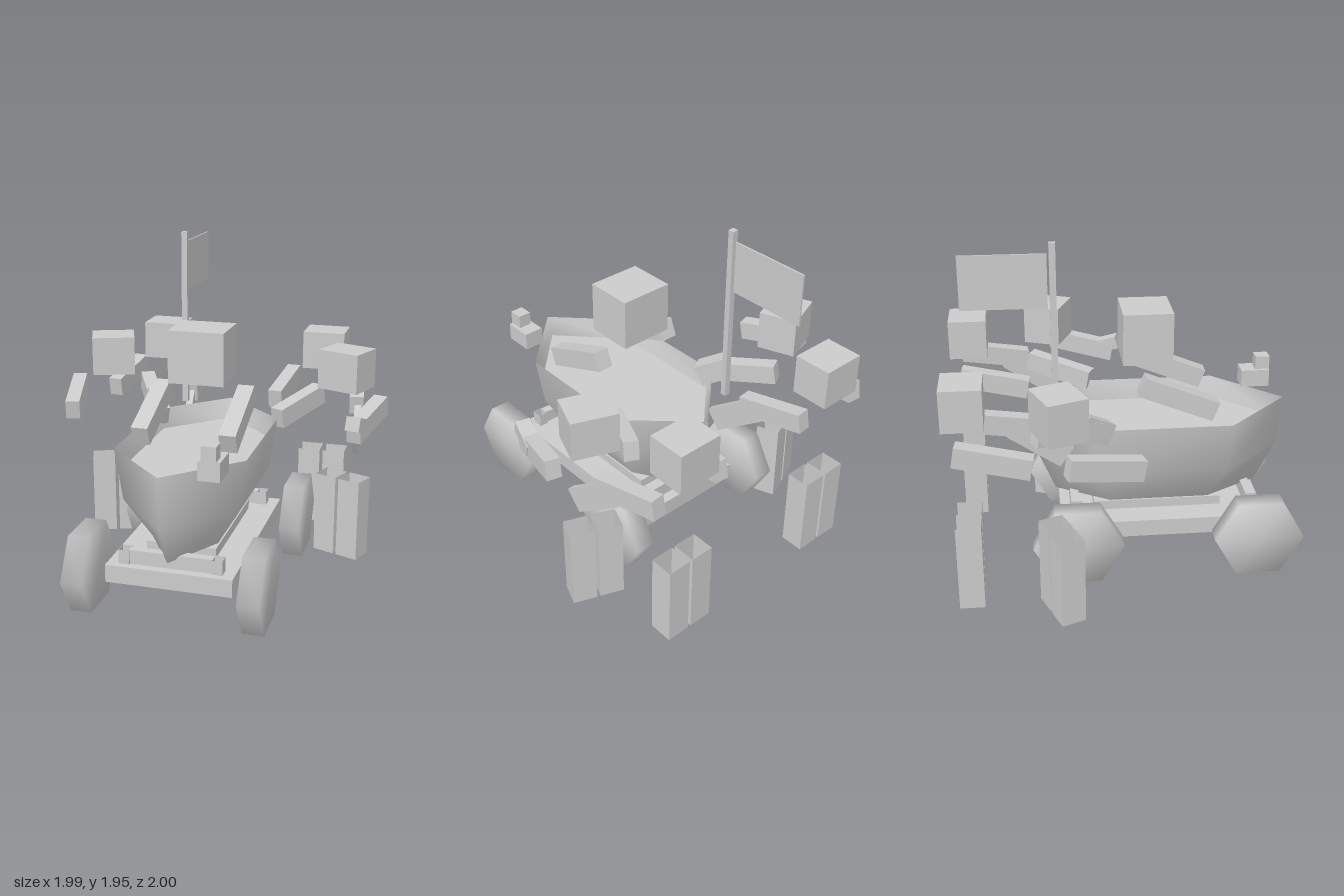
import * as THREE from 'three';
import { mergeVertices } from 'three/addons/utils/BufferGeometryUtils.js';

const grey = new THREE.MeshStandardMaterial({ color: 0xcccccc, side: THREE.DoubleSide });

function add(parent, name, geometry, x = 0, y = 0, z = 0, pitch = 0, yaw = 0) {
  const mesh = new THREE.Mesh(geometry, grey);
  mesh.name = name;
  mesh.position.set(x, y, z);
  mesh.rotation.set(pitch, yaw, 0, 'YXZ');
  parent.add(mesh);
  return mesh;
}

const box = (w, h, d) => new THREE.BoxGeometry(w, h, d);

// Box without its bottom face, and without its top face unless kept
function openBox(w, h, d, keepTop = false) {
  const g = box(w, h, d);
  const index = Array.from(g.index.array);
  g.setIndex([...index.slice(0, keepTop ? 18 : 12), ...index.slice(24)]);
  g.clearGroups();
  return g;
}

// Six-cornered boat section: bow and stern points, straight sides
function hullRing({ y, half, bow, front, back, stern }) {
  return [
    [0, y, bow], [half, y, front], [half, y, back],
    [0, y, stern], [-half, y, back], [-half, y, front],
  ];
}

function loft(sections) {
  const n = 6, index = [];
  const points = sections.flatMap(hullRing);
  for (let s = 0; s < sections.length - 1; s++) {
    for (let i = 0; i < n; i++) {
      const a = s * n + i, b = s * n + (i + 1) % n;
      index.push(a, b, b + n, a, b + n, a + n);
    }
  }
  const g = new THREE.BufferGeometry();
  g.setAttribute('position', new THREE.Float32BufferAttribute(points.flat(), 3));
  g.setIndex(index);
  g.computeVertexNormals();
  return g;
}

// Flat six-cornered plate facing up
function plate(section) {
  const g = new THREE.BufferGeometry();
  g.setAttribute('position', new THREE.Float32BufferAttribute(hullRing(section).flat(), 3));
  g.setIndex([0, 1, 5, 1, 2, 5, 2, 4, 5, 2, 3, 4]);
  g.computeVertexNormals();
  return g;
}

function makeBoat() {
  const boat = new THREE.Group();
  boat.name = 'boat';
  const bottom = { y: 0.365, half: 0.19, bow: 0.82, front: 0.5, back: -0.08, stern: -0.39 };
  const bilge = { y: 0.6, half: 0.33, bow: 0.94, front: 0.58, back: -0.15, stern: -0.49 };
  const rim = { y: 0.9, half: 0.37, bow: 0.97, front: 0.6, back: -0.17, stern: -0.52 };
  const deck = { y: 0.78, half: 0.335, bow: 0.93, front: 0.58, back: -0.155, stern: -0.485 };
  add(boat, 'hull', loft([bottom, bilge, rim]));
  add(boat, 'innerWall', loft([deck, rim]));
  add(boat, 'deck', plate(deck));
  add(boat, 'hullBottom', plate(bottom));
  return boat;
}

// Six-sided wheel with corners fore and aft, shaded smoothly across its edges
function wheelGeometry() {
  const g = new THREE.CylinderGeometry(0.255, 0.255, 0.12, 6).rotateZ(Math.PI / 2);
  g.deleteAttribute('normal');
  g.deleteAttribute('uv');
  const smooth = mergeVertices(g, 1e-3);
  smooth.computeVertexNormals();
  return smooth;
}

function makeCart() {
  const cart = new THREE.Group();
  cart.name = 'cart';
  add(cart, 'chassis', openBox(0.71, 0.1, 1.19, true), 0, 0.26, 0.225);
  add(cart, 'keelBlock', box(0.4, 0.055, 0.75), 0, 0.337, 0.2);
  const wheel = wheelGeometry();
  for (const z of [0.745, -0.285]) {
    add(cart, 'crossbeam', box(0.47, 0.08, 0.05), 0, 0.35, z);
    for (const side of [-1, 1]) {
      add(cart, 'wheel', wheel, side * 0.48, 0.26, z);
      add(cart, 'cradlePost', openBox(0.06, 0.08, 0.07), side * 0.26, 0.35, z);
    }
  }
  return cart;
}

// Blocky crew member: head, two forward arms, two hollow legs
function makeWalker(x, z, yaw) {
  const walker = new THREE.Group();
  walker.name = 'walker';
  walker.position.set(x, 0, z);
  walker.rotation.y = yaw;
  add(walker, 'head', openBox(0.26, 0.235, 0.225, true), 0, 1.177, 0);
  for (const side of [-1, 1]) {
    add(walker, 'arm', box(0.085, 0.115, 0.41), side * 0.234, 0.945, 0.154, 0.175, side * 0.105);
    add(walker, 'leg', openBox(0.14, 0.5, 0.14), side * 0.08, 0.25, 0);
  }
  return walker;
}

export function createModel() {
  const model = new THREE.Group();
  model.name = 'boatOnCart';
  model.add(makeCart(), makeBoat());

  // Captain: floating head and arms reaching forward
  const captain = new THREE.Group();
  captain.name = 'captain';
  add(captain, 'head', openBox(0.32, 0.3, 0.285, true), 0, 1.348, 0.143);
  for (const side of [-1, 1]) {
    add(captain, 'arm', box(0.095, 0.115, 0.453), side * 0.247, 1.035, 0.305, 0.378);
  }
  model.add(captain);

  // Small perched figure at the bow
  const perch = new THREE.Group();
  perch.name = 'bowFigure';
  add(perch, 'body', openBox(0.12, 0.105, 0.17, true), 0.257, 0.943, 0.845);
  add(perch, 'head', openBox(0.08, 0.08, 0.085, true), 0.257, 1.036, 0.89);
  model.add(perch);

  // Crew around the stern, mirrored
  for (const side of [-1, 1]) {
    const rear = makeWalker(side * 0.53, -0.887, 0);
    add(rear, 'handTool', box(0.04, 0.14, 0.36), 0.268, 0.803, side < 0 ? 0.41 : 0.387, 0.62, 0.105);
    const flank = makeWalker(side * 0.738, -0.39, side * -0.366);
    if (side < 0) add(flank, 'handBlock', box(0.1, 0.13, 0.2), 0.262, 0.92, 0.32, 0.5, 0.15);
    else add(flank, 'handBlock', box(0.085, 0.08, 0.18), 0.255, 0.95, 0.3, -0.3, 0.105);
    model.add(rear, flank);
  }

  // Flag
  const flag = new THREE.Group();
  flag.name = 'flag';
  add(flag, 'pole', box(0.035, 1.05, 0.035), -0.262, 1.425, -0.386);
  add(flag, 'banner', box(0.01, 0.3, 0.47), -0.262, 1.74, -0.65);
  model.add(flag);
  return model;
}
